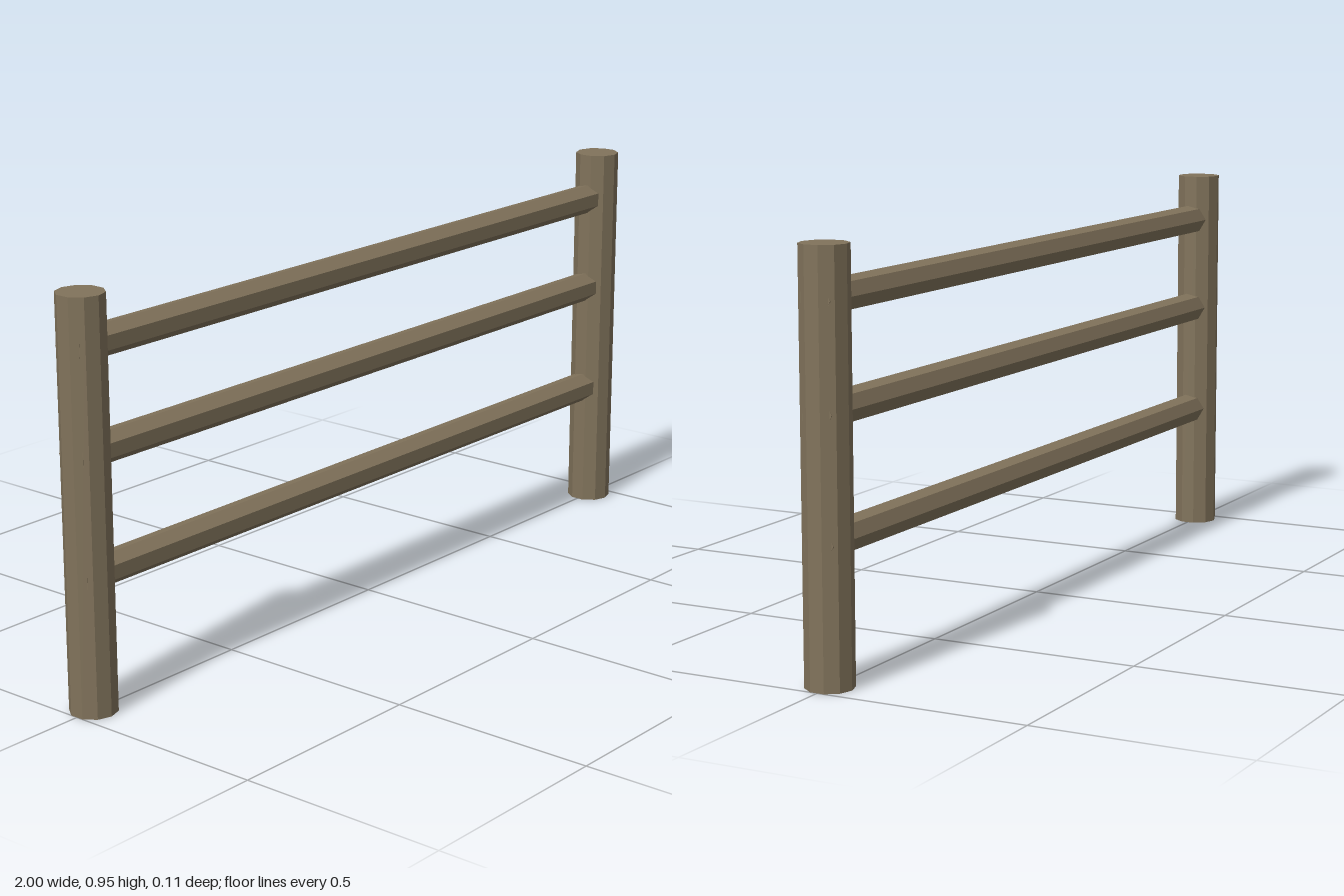
import * as THREE from 'three';

export function createModel() {
  const group = new THREE.Group();
  group.name = 'railFence';

  const wood = new THREE.MeshStandardMaterial({ color: 0x81735b, flatShading: true });
  wood.name = 'weatheredWood';

  // Two ten-sided upright posts
  const postHeight = 0.948;
  const postGeometry = new THREE.CylinderGeometry(0.055, 0.055, postHeight, 10);
  for (const [name, side] of [['leftPost', 1], ['rightPost', -1]]) {
    const post = new THREE.Mesh(postGeometry, wood);
    post.name = name;
    post.position.set(side * 0.9477, postHeight / 2, 0);
    group.add(post);
  }

  // Three seven-sided rails, one ridge to the back, ends just breaking through the posts
  const railGeometry = new THREE.CylinderGeometry(0.038, 0.038, 1.976, 7, 1, false, Math.PI);
  railGeometry.rotateZ(Math.PI / 2);
  const railHeights = { bottomRail: 0.317, middleRail: 0.594, topRail: 0.832 };
  for (const [name, y] of Object.entries(railHeights)) {
    const rail = new THREE.Mesh(railGeometry, wood);
    rail.name = name;
    rail.position.y = y;
    group.add(rail);
  }

  return group;
}
